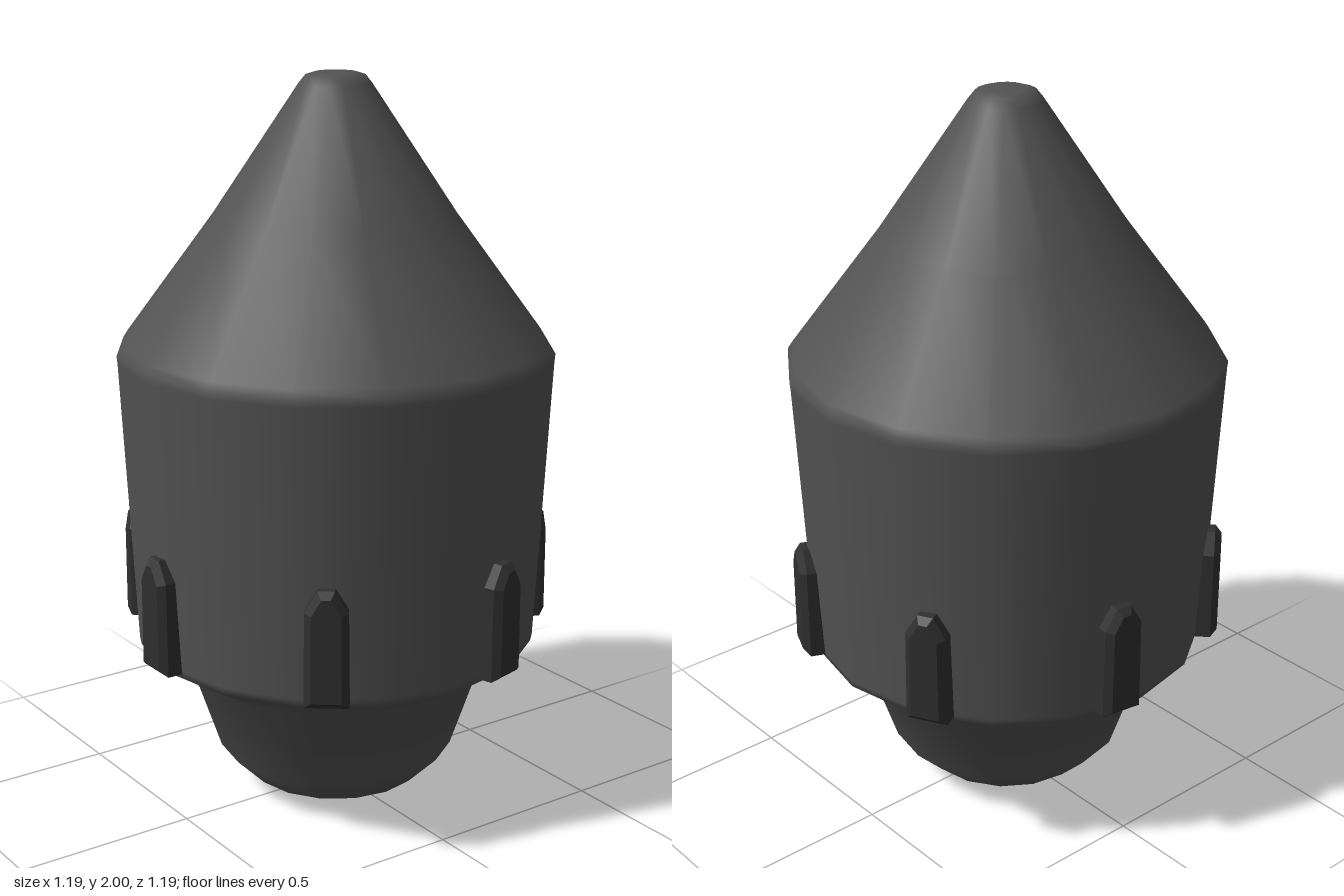
import * as THREE from 'three';

export function createModel() {
  const model = new THREE.Group();
  model.name = 'projectile';

  const shellGrey = new THREE.MeshStandardMaterial({ color: 0x525252 });
  shellGrey.name = 'shell grey';
  const lugGrey = new THREE.MeshStandardMaterial({ color: 0x2f2f2f });
  lugGrey.name = 'dark lug grey';

  // Sixteen-sided shell: rounded base, stepped collar, drum and blunt cone.
  // Close pairs of rings keep the shoulder and collar edges crisp.
  const profile = [
    [0, 0.003], [0.13, 0.008], [0.245, 0.04], [0.33, 0.125],
    [0.41, 0.365], [0.53, 0.437], [0.549, 0.45], [0.553, 0.47],
    [0.591, 1.25], [0.593, 1.27], [0.579, 1.292],
    [0.335, 1.62], [0.098, 1.97], [0.08, 1.992], [0.055, 2], [0, 2],
  ].map(([r, y]) => new THREE.Vector2(r, y));
  const shell = new THREE.Mesh(new THREE.LatheGeometry(profile, 16), shellGrey);
  shell.name = 'shell';
  model.add(shell);

  // Pointed lug outline, bevelled on its outer face
  const outline = new THREE.Shape([
    [-0.058, 0.463], [0.058, 0.463], [0.056, 0.72],
    [0.022, 0.778], [-0.022, 0.778], [-0.056, 0.72],
  ].map(([x, y]) => new THREE.Vector2(x, y)));
  const bevel = 0.018;
  const lugGeometry = new THREE.ExtrudeGeometry(outline, {
    depth: 0.08, bevelEnabled: true, bevelThickness: bevel,
    bevelSize: bevel, bevelOffset: -bevel, bevelSegments: 1,
  });
  lugGeometry.translate(0, 0, 0.6 - 0.08 - bevel);

  // Ring of seven lugs around the lower drum
  for (let i = 0; i < 7; i++) {
    const lug = new THREE.Mesh(lugGeometry, lugGrey);
    lug.name = `lug${i + 1}`;
    lug.rotation.y = THREE.MathUtils.degToRad(0.5 + i * 52);
    model.add(lug);
  }
  return model;
}
